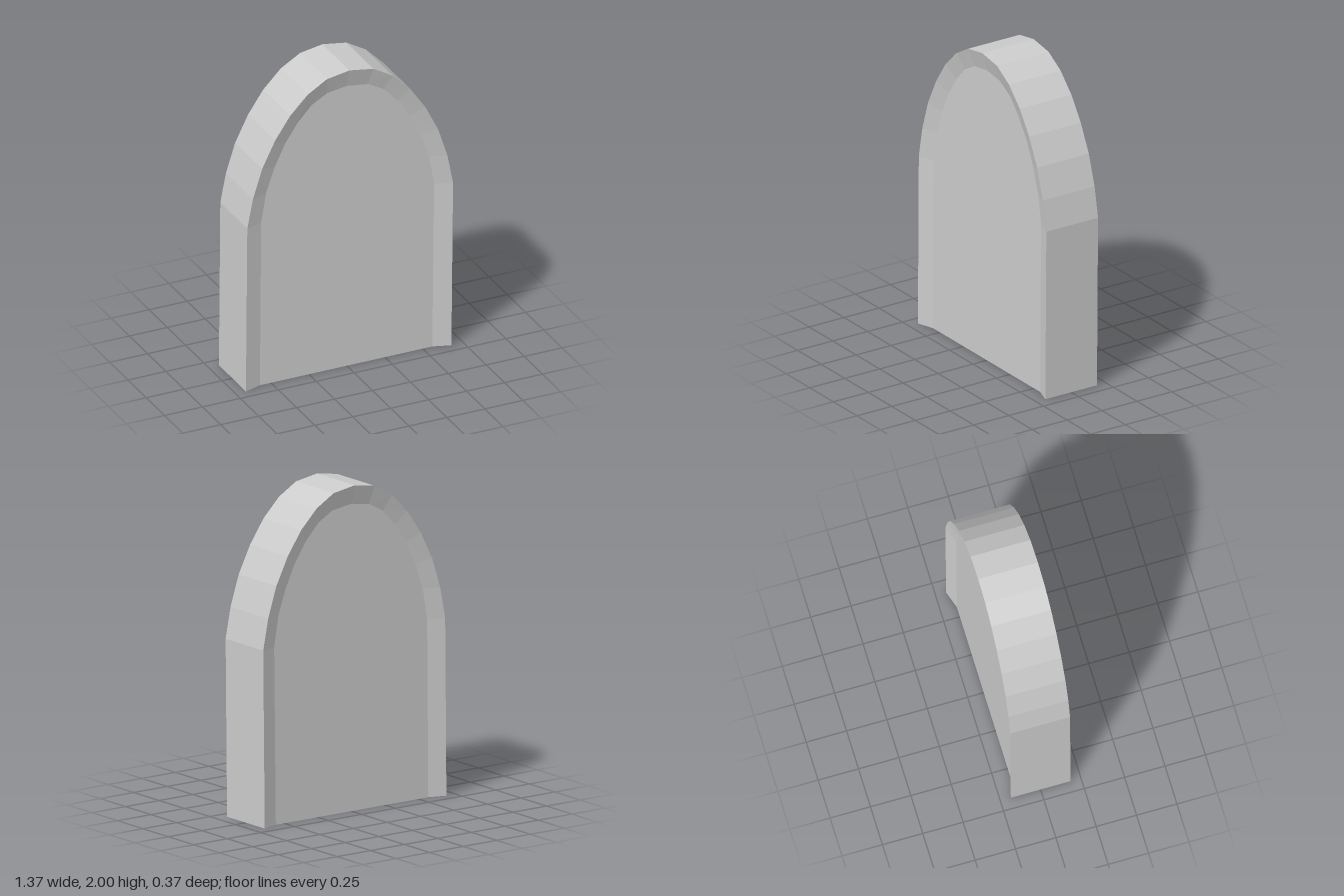
import * as THREE from 'three';

// Half profiles from the base to the crown: [half width, height]
const OUTER = [[0.677, 0], [0.678, 1.09], [0.641, 1.28], [0.58, 1.47], [0.495, 1.64], [0.395, 1.785], [0.28, 1.9], [0.153, 1.975], [0, 2]];
const INNER = [[0.568, 0], [0.57, 1.09], [0.538, 1.28], [0.482, 1.44], [0.412, 1.585], [0.33, 1.705], [0.238, 1.803], [0.136, 1.86], [0, 1.88]];
const HALF_DEPTH = 0.185;
const RECESS = 0.035;

// Mirror a half profile into a full arch, right base to left base, with a slight lean
function arch(half) {
  const lean = (y) => 0.005 * (Math.min(y, 1.09) / 0.545 - 1);
  const full = [...half, ...half.slice(0, -1).reverse().map(([x, y]) => [-x, y])];
  return full.map(([x, y]) => new THREE.Vector2(x === 0 ? 0 : x + lean(y), y));
}

// Quads joining two outlines at their own depths
function strip(a, za, b, zb) {
  const pos = [];
  const put = (p, z) => pos.push(p.x, p.y, z);
  for (let i = 0; i < a.length - 1; i++) {
    put(a[i], za); put(b[i + 1], zb); put(b[i], zb);
    put(a[i], za); put(a[i + 1], za); put(b[i + 1], zb);
  }
  const g = new THREE.BufferGeometry();
  g.setAttribute('position', new THREE.Float32BufferAttribute(pos, 3));
  g.computeVertexNormals();
  return g;
}

export function createModel() {
  const group = new THREE.Group();
  group.name = 'archedSlab';
  const material = new THREE.MeshStandardMaterial({ color: 0xcccccc, flatShading: true, side: THREE.DoubleSide });
  const add = (geometry, name) => {
    const mesh = new THREE.Mesh(geometry, material);
    mesh.name = name;
    group.add(mesh);
    return mesh;
  };

  const outer = arch(OUTER);
  const inner = arch(INNER);
  const zIn = HALF_DEPTH - RECESS;

  // Faceted side wall running over the arch
  add(strip(outer, -HALF_DEPTH, outer, HALF_DEPTH), 'sideWall');

  // Sloped border and sunken panel on both faces
  const panel = new THREE.ShapeGeometry(new THREE.Shape(inner));
  add(strip(outer, HALF_DEPTH, inner, zIn), 'frontBevel');
  add(strip(inner, -zIn, outer, -HALF_DEPTH), 'backBevel');
  add(panel, 'frontPanel').position.z = zIn;
  const back = add(panel.clone().scale(1, 1, -1), 'backPanel');
  const index = back.geometry.index.array;
  for (let i = 0; i < index.length; i += 3) [index[i], index[i + 1]] = [index[i + 1], index[i]];
  back.geometry.computeVertexNormals();
  back.position.z = -zIn;

  // Underside following the recessed outline
  const r = outer[0].x, l = outer[outer.length - 1].x;
  const ri = inner[0].x, li = inner[inner.length - 1].x;
  const foot = new THREE.Shape([
    [l, -HALF_DEPTH], [li, -zIn], [ri, -zIn], [r, -HALF_DEPTH],
    [r, HALF_DEPTH], [ri, zIn], [li, zIn], [l, HALF_DEPTH],
  ].map(([x, z]) => new THREE.Vector2(x, z)));
  add(new THREE.ShapeGeometry(foot).rotateX(Math.PI / 2), 'base');

  return group;
}
